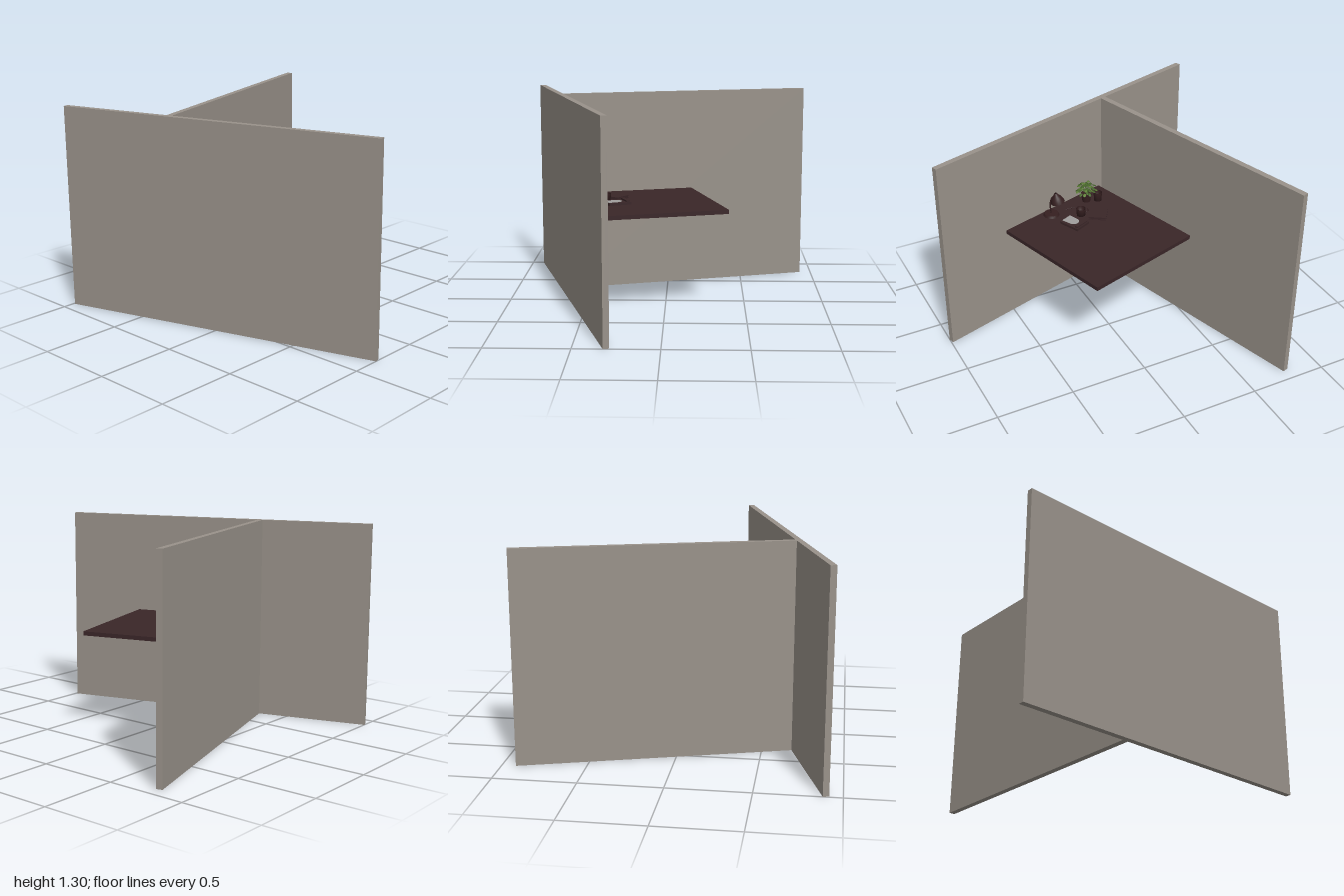
import * as THREE from 'three';

const mat = (name, color, side = THREE.FrontSide) => {
  const m = new THREE.MeshStandardMaterial({ color, side });
  m.name = name;
  return m;
};

export function createModel() {
  const wallGrey = mat('wallGrey', 0x99928a);
  const darkWood = mat('darkWood', 0x3a2628);
  const darkMetal = mat('darkMetal', 0x351f20, THREE.DoubleSide);
  const paper = mat('paper', 0xa09e9c);
  const leafGreen = mat('leafGreen', 0x45632a, THREE.DoubleSide);
  const leafLight = mat('leafLight', 0x5f8038, THREE.DoubleSide);

  const model = new THREE.Group();
  const office = new THREE.Group();
  office.name = 'cubicle';
  office.position.z = 0.605;
  office.rotation.y = 0.2925;
  model.add(office);

  const add = (parent, name, geo, material, x = 0, y = 0, z = 0) => {
    const m = new THREE.Mesh(geo, material);
    m.name = name;
    m.position.set(x, y, z);
    parent.add(m);
    return m;
  };
  const box = (w, h, d) => new THREE.BoxGeometry(w, h, d);
  const cyl = (rt, rb, h, n = 24, open = false) => new THREE.CylinderGeometry(rt, rb, h, n, 1, open);
  const H = 1.3, T = 0.037, TOP = 0.65;

  // Partition walls and desk top
  add(office, 'frontWall', box(2.08, H, T), wallGrey, 0, H / 2, 0);
  add(office, 'sideWall', box(T, H, 1.668), wallGrey, -0.309, H / 2, -0.852);
  add(office, 'deskTop', box(0.81, 0.026, 0.854), darkWood, 0.145, TOP - 0.013, -0.447);

  // Groups standing on the desk
  const onDesk = (name, x, z, turn = 0) => {
    const g = new THREE.Group();
    g.name = name;
    g.position.set(x, TOP, z);
    g.rotation.y = turn;
    office.add(g);
    return g;
  };

  // Closed book: two covers around the pages
  const book = onDesk('book', -0.003, -0.293, -0.88);
  for (const y of [0.002, 0.018]) add(book, 'bookCover', box(0.116, 0.004, 0.125), darkWood, 0, y, 0);
  add(book, 'bookPages', box(0.108, 0.012, 0.117), darkWood, 0, 0.01, 0);

  // Tray with a round-topped sheet
  const tray = onDesk('tray', 0.1785, -0.2625, 0.13);
  add(tray, 'trayBase', box(0.118, 0.016, 0.145), darkWood, 0, 0.008, 0);
  add(tray, 'trayRidge', box(0.1, 0.01, 0.022), darkWood, 0, 0.021, -0.055);
  const arch = new THREE.Shape();
  arch.moveTo(-0.038, -0.045);
  arch.lineTo(0.038, -0.045);
  arch.lineTo(0.034, 0.02);
  arch.absarc(0, 0.02, 0.034, 0, Math.PI, false);
  arch.closePath();
  const sheet = add(tray, 'sheet', new THREE.ExtrudeGeometry(arch, { depth: 0.002, bevelEnabled: false }),
    paper, 0.003, 0.016, 0.025);
  sheet.rotation.x = -Math.PI / 2;

  // Cups
  const cup = (name, x, z, r, h, turn) => {
    const g = onDesk(name, x, z, turn);
    const pts = [[0, 0], [r * 0.9, 0], [r, h], [r - 0.004, h], [r * 0.82, 0.005], [0, 0.005]];
    add(g, name + 'Body', new THREE.LatheGeometry(pts.map(p => new THREE.Vector2(...p)), 24), darkMetal);
    return g;
  };
  const mug = cup('mug', 0.078, -0.214, 0.031, 0.05, 2.8);
  add(mug, 'mugHandle', new THREE.TorusGeometry(0.014, 0.003, 8, 16), darkMetal, 0.036, 0.025, 0);
  cup('penCup', -0.129, -0.154, 0.028, 0.06, 0);
  const pen = add(office, 'pen', cyl(0.003, 0.003, 0.07, 8), darkMetal, 0.085, TOP + 0.003, -0.107);
  pen.rotation.set(0, -0.3, Math.PI / 2);

  // Desk lamp: round foot, bent stem and bell shade
  const lamp = onDesk('lamp', 0.217, -0.078);
  add(lamp, 'lampFoot', cyl(0.046, 0.053, 0.014), darkMetal, 0, 0.007, 0);
  const stem = new THREE.CatmullRomCurve3([[0, 0.01, 0], [0.004, 0.08, 0.004], [-0.006, 0.135, -0.008],
    [-0.028, 0.155, -0.032]].map(p => new THREE.Vector3(...p)));
  add(lamp, 'lampStem', new THREE.TubeGeometry(stem, 16, 0.005, 8), darkMetal);
  const bell = [[0.008, 0.07], [0.014, 0.06], [0.032, 0.038], [0.042, 0.015], [0.046, 0]];
  const shade = add(lamp, 'lampShade', new THREE.LatheGeometry(bell.map(p => new THREE.Vector2(...p)), 24),
    darkMetal, -0.03, 0.098, -0.034);
  shade.rotation.set(0.15, 0, -0.15);

  // Potted plant with leaves set out in a spiral
  const plant = onDesk('plant', -0.066, -0.109);
  add(plant, 'plantPot', cyl(0.036, 0.026, 0.06), darkMetal, 0, 0.03, 0);
  const leaf = new THREE.SphereGeometry(0.014, 8, 6);
  leaf.scale(1.1, 0.2, 0.75);
  for (let i = 0; i < 48; i++) {
    const t = (i + 0.5) / 48, a = i * 2.4;
    const r = 0.074 * Math.sqrt(t) * (0.85 + 0.15 * Math.sin(i * 5));
    const m = add(plant, 'leaf', leaf, i % 3 ? leafGreen : leafLight,
      r * Math.cos(a), 0.13 - 0.055 * t + 0.012 * Math.sin(i * 3), r * Math.sin(a));
    m.rotation.set(0, -a, -0.5 * t, 'YXZ');
    if (i % 4 === 0) {
      const stalk = new THREE.LineCurve3(new THREE.Vector3(0, 0.058, 0), m.position.clone());
      add(plant, 'stalk', new THREE.TubeGeometry(stalk, 1, 0.002, 5), leafGreen);
    }
  }
  return model;
}
